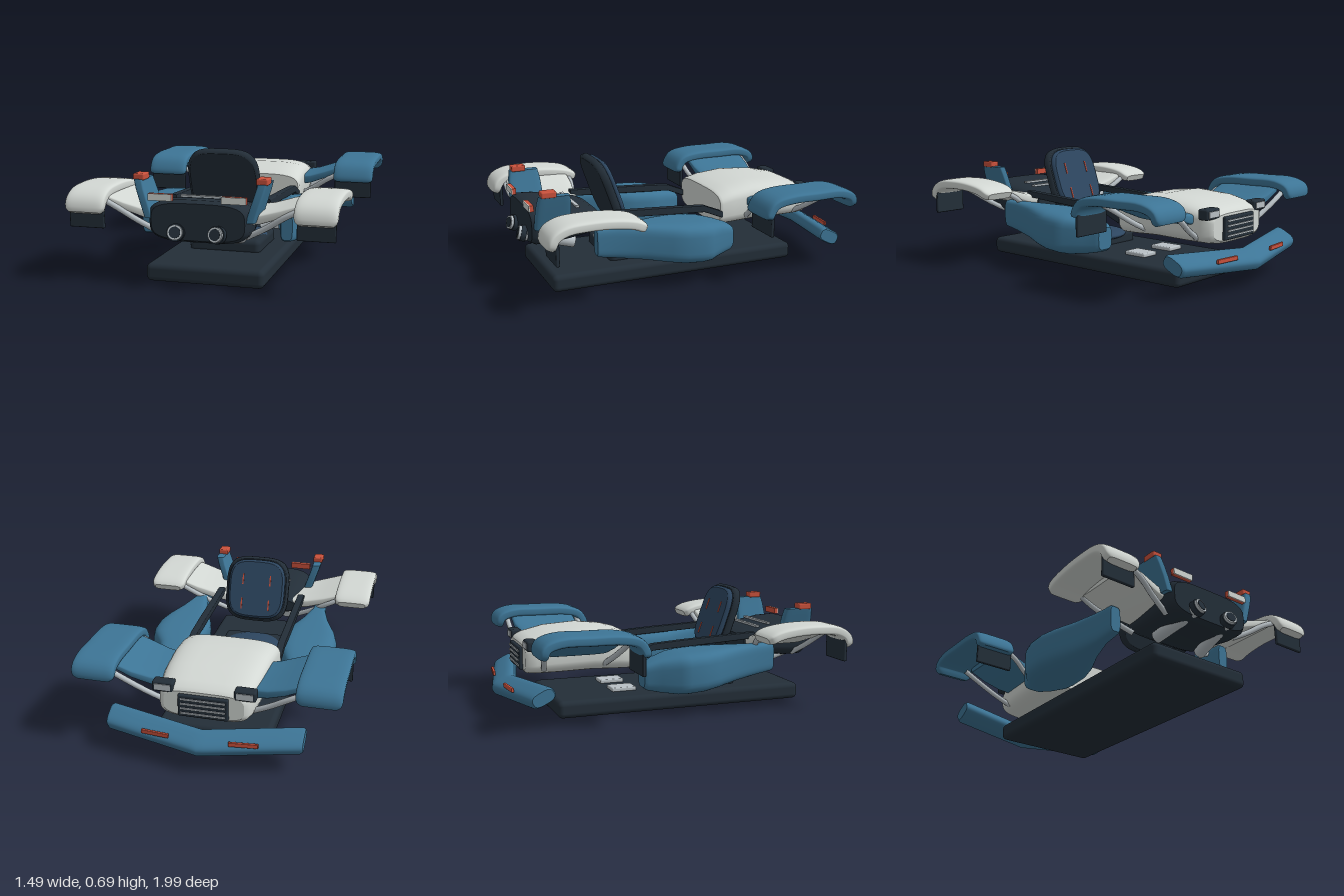
import * as THREE from 'three';
import { RoundedBoxGeometry } from 'three/addons/geometries/RoundedBoxGeometry.js';

const mat = (name, color) => Object.assign(new THREE.MeshStandardMaterial({ color }), { name });
const V = (x, y, z) => new THREE.Vector3(x, y, z);

// Smooth closed body through rounded-rectangle sections { c, u, v }: centre and two half axes
function loft(sections, n = 4, sides = 40) {
  const pos = [], idx = [];
  const ring = ({ c, u, v }) => {
    for (let i = 0; i < sides; i++) {
      const a = (i / sides) * Math.PI * 2, f = (t) => Math.sign(t) * Math.abs(t) ** (2 / n);
      const p = c.clone().addScaledVector(u, f(Math.cos(a))).addScaledVector(v, f(Math.sin(a)));
      pos.push(p.x, p.y, p.z);
    }
  };
  const first = sections[0], last = sections.at(-1);
  const flip = first.u.clone().cross(first.v).dot(sections[1].c.clone().sub(first.c)) < 0;
  const tri = (a, b, c, back = false) => (flip !== back ? idx.push(a, c, b) : idx.push(a, b, c));
  sections.forEach(ring);
  for (let k = 0; k < sections.length - 1; k++) {
    for (let i = 0; i < sides; i++) {
      const a = k * sides + i, b = k * sides + (i + 1) % sides;
      tri(a, b, a + sides);
      tri(b, b + sides, a + sides);
    }
  }
  // End caps with their own vertices, so that the rim stays crisp
  [[first, true], [last, false]].forEach(([s, back]) => {
    const o = pos.length / 3;
    ring(s);
    pos.push(s.c.x, s.c.y, s.c.z);
    for (let i = 0; i < sides; i++) tri(o + sides, o + i, o + (i + 1) % sides, back);
  });
  const g = new THREE.BufferGeometry();
  g.setAttribute('position', new THREE.Float32BufferAttribute(pos, 3));
  g.setIndex(idx);
  g.computeVertexNormals();
  return g;
}

// Sections along z given as [z, centre x, half width, bottom y, top y]
const alongZ = (rows, n) => loft(rows.map(([z, x, w, y0, y1]) => ({
  c: V(x, (y0 + y1) / 2, z), u: V(w, 0, 0), v: V(0, (y1 - y0) / 2, 0) })), n);

// Arched mudguard following a [z, y] path
function fenderGeometry(x, halfWidth, path) {
  const curve = new THREE.CatmullRomCurve3(path.map(([z, y]) => V(x, y, z)));
  const rows = [];
  for (let i = 0; i <= 28; i++) {
    const t = i / 28, k = Math.min(1, Math.min(t, 1 - t) / 0.13);
    const d = curve.getTangent(t);
    const round = Math.sqrt(1 - (1 - k) ** 2);
    rows.push({ c: curve.getPoint(t), u: V(halfWidth * (0.78 + 0.22 * round), 0, 0),
      v: V(0, d.z, -d.y).multiplyScalar(0.021 + 0.009 * round) });
  }
  return loft(rows, 4.5);
}

export function createModel() {
  const root = new THREE.Group();
  const blue = mat('body blue', 0x3d7596), white = mat('body white', 0xd3d8d4), dark = mat('dark slate', 0x232e38);
  const navy = mat('seat navy', 0x2d4660), red = mat('signal red', 0xc9513c), grey = mat('light metal', 0xb8c0c5);

  const add = (name, geo, material, x = 0, y = 0, z = 0, parent = root) => {
    const m = new THREE.Mesh(geo, material);
    m.name = name;
    m.position.set(x, y, z);
    parent.add(m);
    return m;
  };
  const box = (name, w, h, d, r, material, x, y, z, parent) =>
    add(name, r ? new RoundedBoxGeometry(w, h, d, 4, r) : new THREE.BoxGeometry(w, h, d), material, x, y, z, parent);
  const tube = (name, pts, r, material) =>
    add(name, new THREE.TubeGeometry(new THREE.CatmullRomCurve3(pts), 16, r, 12), material);

  // Floor and seat
  box('floor', 0.66, 0.1, 1.53, 0.03, dark, 0, 0.05, 0.085);
  box('seatBase', 0.42, 0.09, 0.38, 0.03, dark, 0, 0.125, 0.28);
  const cushion = add('seatCushion', new THREE.SphereGeometry(1, 40, 20), navy, 0, 0.155, 0.26);
  cushion.scale.set(0.205, 0.04, 0.205);

  const seatBack = new THREE.Group();
  seatBack.name = 'seatBack';
  seatBack.position.set(0, 0.495, 0.435);
  seatBack.rotation.x = 0.34;
  root.add(seatBack);
  const pad = (w, h, z0, z1) => loft([[z0, 0.93], [z0 + 0.01, 1], [z1 - 0.01, 1], [z1, 0.93]].map(([z, k]) => (
    { c: V(0, 0, z), u: V(w * k, 0, 0), v: V(0, h * k, 0) })), 3.6, 56);
  add('seatShell', pad(0.207, 0.21, -0.012, 0.036), dark, 0, 0, 0, seatBack);
  add('seatPad', pad(0.185, 0.19, -0.04, -0.005), navy, 0, 0, 0, seatBack);
  for (const x of [-0.09, 0.09]) for (const y of [-0.1, 0.06]) {
    box('seatStitch', 0.008, 0.07, 0.006, 0, red, x, y, -0.041, seatBack);
  }

  // Nose with grille
  add('hood', alongZ([[-0.84, 0, 0.225, 0.26, 0.41], [-0.825, 0, 0.25, 0.245, 0.43], [-0.78, 0, 0.265, 0.24, 0.45],
    [-0.65, 0, 0.28, 0.24, 0.48], [-0.45, 0, 0.29, 0.245, 0.492], [-0.3, 0, 0.295, 0.24, 0.475],
    [-0.225, 0, 0.295, 0.24, 0.455], [-0.21, 0, 0.285, 0.25, 0.445]], 3.8), white);
  box('grille', 0.28, 0.13, 0.03, 0.008, dark, 0, 0.33, -0.845);
  for (let i = 0; i < 4; i++) box('grilleSlat', 0.25, 0.01, 0.01, 0, grey, 0, 0.288 + i * 0.028, -0.861);

  // Tail body with cooling slats
  add('tailBody', alongZ([[0.52, 0, 0.235, 0.31, 0.4], [0.56, 0, 0.245, 0.29, 0.42], [0.65, 0, 0.255, 0.27, 0.44],
    [0.82, 0, 0.28, 0.25, 0.47], [0.91, 0, 0.275, 0.25, 0.475], [0.94, 0, 0.255, 0.265, 0.46]], 3.6), dark);
  box('tailSlat', 0.33, 0.012, 0.022, 0, grey, 0, 0.442, 0.645);
  box('tailSlat', 0.33, 0.012, 0.022, 0, grey, 0, 0.458, 0.72);

  // Swept bumper: a tilted plank bent back at both sides
  add('bumper', loft([-0.55, -0.535, -0.4, -0.2, -0.04, 0, 0.04, 0.2, 0.4, 0.535, 0.55].map((x) => {
    const a = Math.abs(x), k = a > 0.54 ? 0.85 : 1;
    return { c: V(x, 0.155 + a * 0.055, -0.925 + a * 0.2), u: V(0, 0.034, 0.066).multiplyScalar(k),
      v: V(0, 0.037, -0.019).multiplyScalar(k) };
  }), 3), blue);

  for (const s of [-1, 1]) {
    // Side pod
    add('sidePod', alongZ([[-0.21, 0.4, 0.055, 0.17, 0.295], [-0.19, 0.4, 0.07, 0.155, 0.31], [-0.12, 0.395, 0.105, 0.14, 0.335],
      [-0.03, 0.405, 0.16, 0.13, 0.36], [0.03, 0.408, 0.172, 0.13, 0.368], [0.13, 0.407, 0.172, 0.137, 0.374],
      [0.22, 0.405, 0.148, 0.15, 0.378], [0.35, 0.405, 0.09, 0.172, 0.38], [0.5, 0.405, 0.045, 0.195, 0.38],
      [0.61, 0.4, 0.038, 0.212, 0.378], [0.62, 0.4, 0.032, 0.22, 0.37]].map(([z, x, ...r]) => [z, s * x, ...r]), 4), blue);
    // Cockpit rail and pedal
    add('cockpitRail', alongZ([[-0.22, s * 0.275, 0.02, 0.305, 0.345], [-0.1, s * 0.275, 0.022, 0.355, 0.395],
      [0.1, s * 0.275, 0.022, 0.365, 0.408], [0.56, s * 0.272, 0.022, 0.39, 0.43]], 8), dark);
    box('pedal', 0.115, 0.025, 0.15, 0.008, grey, s * 0.122, 0.11, -0.24);

    // Fenders with mud flaps
    add('frontFender', fenderGeometry(s * 0.622, 0.124, [[-0.85, 0.42], [-0.835, 0.475], [-0.76, 0.505], [-0.6, 0.507],
      [-0.42, 0.503], [-0.33, 0.48], [-0.295, 0.43], [-0.29, 0.4]]), blue);
    add('rearFender', fenderGeometry(s * 0.623, 0.112, [[0.44, 0.44], [0.5, 0.468], [0.62, 0.488], [0.76, 0.492],
      [0.88, 0.48], [0.94, 0.445], [0.963, 0.385]]), white);
    box('frontMudFlap', 0.23, 0.15, 0.02, 0.006, dark, s * 0.619, 0.375, -0.31);
    box('rearMudFlap', 0.2, 0.15, 0.02, 0.006, dark, s * 0.623, 0.375, 0.93);

    // Sloping brackets joining fenders to the body: [x, y, z centre, half length, half thickness]
    const bracket = (rows) => loft(rows.map(([x, y, z, l, t]) => (
      { c: V(s * x, y, z), u: V(0, 0, l), v: V(0, t, 0) })), 5);
    add('frontBracket', bracket([[0.24, 0.38, -0.56, 0.17, 0.035], [0.33, 0.395, -0.565, 0.185, 0.032],
      [0.43, 0.43, -0.57, 0.2, 0.028], [0.53, 0.47, -0.57, 0.2, 0.022]]), blue);
    add('rearBracket', bracket([[0.22, 0.37, 0.7, 0.17, 0.035], [0.32, 0.385, 0.7, 0.185, 0.032],
      [0.43, 0.42, 0.7, 0.198, 0.028], [0.54, 0.46, 0.7, 0.198, 0.022]]), white);

    // Curved struts
    for (const [z, inner] of [[-0.79, -0.74], [-0.335, -0.4], [0.49, 0.57], [0.9, 0.85]]) {
      tube('strut', [V(s * 0.56, 0.46, z), V(s * 0.46, 0.41, z), V(s * 0.35, 0.34, (z + inner) / 2),
        V(s * 0.24, 0.28, inner)], 0.016, grey);
    }

    // Tail fin with red cap, and tail lamp
    add('tailFin', loft([[0.37, 0.275, 0.83, 0.1], [0.45, 0.3, 0.83, 0.1], [0.52, 0.323, 0.83, 0.095], [0.57, 0.337, 0.83, 0.085]]
      .map(([y, x, z, l]) => ({ c: V(s * x, y, z), u: V(0.026, 0, 0), v: V(0, 0, l) })), 6), blue);
    box('finLamp', 0.062, 0.036, 0.085, 0.008, red, s * 0.335, 0.582, 0.865);
    box('tailLamp', 0.13, 0.036, 0.022, 0, red, s * 0.2, 0.488, 0.938);
    box('tailLampLens', 0.13, 0.036, 0.006, 0, white, s * 0.2, 0.488, 0.952);

    // Exhaust pipe with dark collar and mouth
    const from = V(s * 0.16, 0.235, 0.67), to = V(s * 0.108, 0.315, 0.985);
    const dir = to.clone().sub(from), len = dir.length();
    const exhaust = new THREE.Group();
    exhaust.name = 'exhaust';
    exhaust.position.copy(from);
    exhaust.quaternion.setFromUnitVectors(V(0, 1, 0), dir.normalize());
    root.add(exhaust);
    add('exhaustPipe', new THREE.CylinderGeometry(0.04, 0.034, len, 24), grey, 0, len / 2, 0, exhaust);
    add('exhaustCollar', new THREE.CylinderGeometry(0.047, 0.047, 0.03, 24), dark, 0, len - 0.03, 0, exhaust);
    add('exhaustMouth', new THREE.CylinderGeometry(0.03, 0.03, 0.006, 24), dark, 0, len, 0, exhaust);

    // Headlight and bumper lamp
    box('headlight', 0.12, 0.06, 0.065, 0.012, dark, s * 0.228, 0.42, -0.81);
    box('headlightLens', 0.09, 0.035, 0.006, 0, grey, s * 0.228, 0.42, -0.844);
    const lamp = box('bumperLamp', 0.16, 0.025, 0.016, 0.004, red, s * 0.245, 0.19, -0.945);
    lamp.rotation.y = -s * 0.1;
  }
  return root;
}
